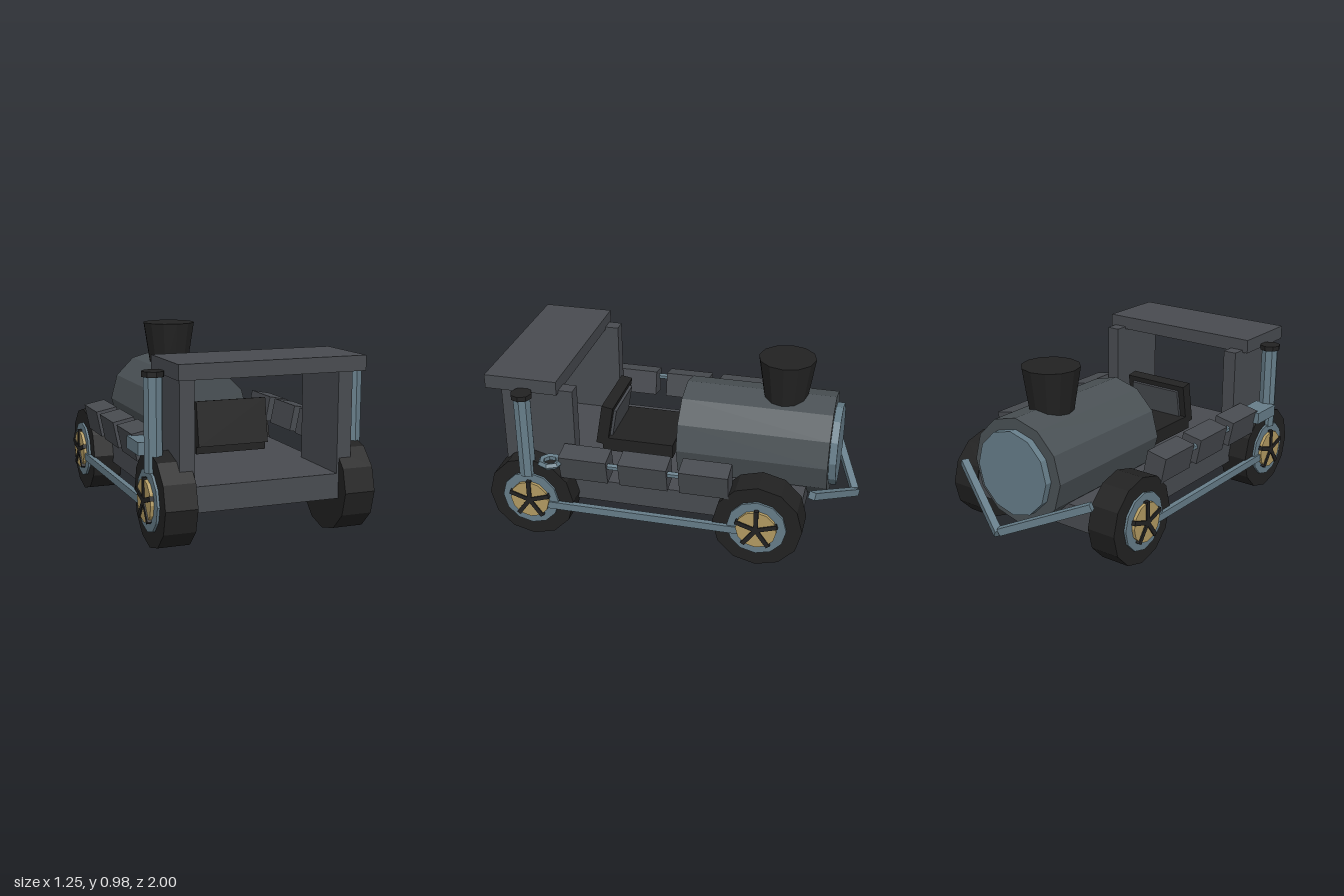
import * as THREE from 'three';

const mat = (name, color) => {
  const m = new THREE.MeshStandardMaterial({ color, flatShading: true });
  m.name = name;
  return m;
};

export function createModel() {
  const charcoal = mat('charcoal', 0x484b50);
  const black = mat('black', 0x222222);
  const boilerGrey = mat('boiler grey', 0x4a5155);
  const steel = mat('steel', 0x667d89);
  const brass = mat('brass', 0xb39b62);

  const model = new THREE.Group();
  model.name = 'steamCar';
  const body = new THREE.Group();
  body.name = 'body';
  body.position.x = -0.016;
  model.add(body);

  const add = (name, geo, material, x, y, z, parent = body) => {
    const mesh = new THREE.Mesh(geo, material);
    mesh.name = name;
    mesh.position.set(x, y, z);
    parent.add(mesh);
    return mesh;
  };
  const box = (name, w, h, d, material, x, y, z, parent) =>
    add(name, new THREE.BoxGeometry(w, h, d), material, x, y, z, parent);
  const cyl = (name, rTop, rBottom, h, sides, material, x, y, z, parent) =>
    add(name, new THREE.CylinderGeometry(rTop, rBottom, h, sides), material, x, y, z, parent);
  // square bar between two points
  const bar = (name, a, b, size, material) => {
    const m = box(name, size, size, a.distanceTo(b), material, 0, 0, 0);
    m.position.copy(a).lerp(b, 0.5);
    m.lookAt(b);
    return m;
  };

  // chassis and canopy
  box('chassis', 0.89, 0.13, 1.64, charcoal, 0, 0.265, 0.1);
  box('roof', 0.98, 0.077, 0.4, charcoal, 0, 0.897, 0.797);

  // boiler, end plate and chimney
  cyl('boiler', 0.29, 0.29, 0.833, 12, boilerGrey, 0, 0.483, -0.416).rotation.x = Math.PI / 2;
  cyl('boilerEndPlate', 0.23, 0.23, 0.045, 12, steel, 0, 0.483, -0.85).rotation.x = Math.PI / 2;
  cyl('chimney', 0.157, 0.115, 0.27, 12, black, 0, 0.845, -0.553);

  // seat with leaning backrest and pad
  box('seatBase', 0.394, 0.08, 0.41, black, 0, 0.417, 0.247);
  const back = box('seatBackrest', 0.394, 0.24, 0.065, black, 0, 0.535, 0.437);
  back.rotation.x = -0.17;
  box('seatBackPad', 0.32, 0.17, 0.02, charcoal, 0, 0.005, -0.038, back);

  // wheel built with its outside facing +x
  const makeWheel = (side, z) => {
    const wheel = new THREE.Group();
    wheel.name = 'wheel';
    wheel.position.set(side * 0.475, 0.242, z);
    if (side < 0) wheel.rotation.y = Math.PI;
    body.add(wheel);
    const disc = (name, r, w, sides, material, x) => {
      cyl(name, r, r, w, sides, material, x, 0, 0, wheel).rotation.z = Math.PI / 2;
    };
    disc('tyre', 0.242, 0.165, 12, black, 0);
    disc('rim', 0.16, 0.04, 12, steel, 0.075);
    disc('hubDisc', 0.11, 0.03, 12, brass, 0.097);
    for (let i = 0; i < 5; i++) {
      const spoke = new THREE.Group();
      spoke.name = 'spoke';
      spoke.rotation.x = (i / 5) * Math.PI * 2;
      wheel.add(spoke);
      box('spokeBar', 0.022, 0.118, 0.024, black, 0.108, 0.059, 0, spoke);
    }
  };

  for (const s of [-1, 1]) {
    makeWheel(s, 0.757);
    makeWheel(s, -0.505);
    box('couplingRod', 0.03, 0.042, 1.25, steel, s * 0.564, 0.216, 0.126);
    box('roofPost', 0.077, 0.545, 0.4, charcoal, s * 0.42, 0.6, 0.72);

    // exhaust stack and cap
    cyl('exhaustStack', 0.048, 0.048, 0.475, 8, steel, s * 0.54, 0.622, 0.773);
    cyl('exhaustCap', 0.058, 0.058, 0.027, 8, black, s * 0.54, 0.867, 0.773);

    // tilted side blocks joined by a pipe
    for (const z of [0.442, 0.112, -0.218]) {
      box('sideBlock', 0.118, 0.144, 0.265, charcoal, s * 0.517, 0.478, z).rotation.z = -s * 0.2;
    }
    cyl('sidePipe', 0.018, 0.018, 0.8, 6, steel, s * 0.55, 0.497, 0.11).rotation.x = Math.PI / 2;

    // angled guard bar at the boiler end
    bar('guardBar', new THREE.Vector3(s * 0.445, 0.4, -0.78), new THREE.Vector3(0, 0.192, -0.977), 0.04, steel);
  }

  // fittings beside the canopy: a ring on one side, a small box on the other
  const ring = add('sideRing', new THREE.TorusGeometry(0.053, 0.019, 5, 7), steel, 0.571, 0.495, 0.625);
  ring.rotation.x = Math.PI / 2;
  box('sideBox', 0.125, 0.065, 0.19, steel, -0.546, 0.497, 0.65);

  return model;
}
